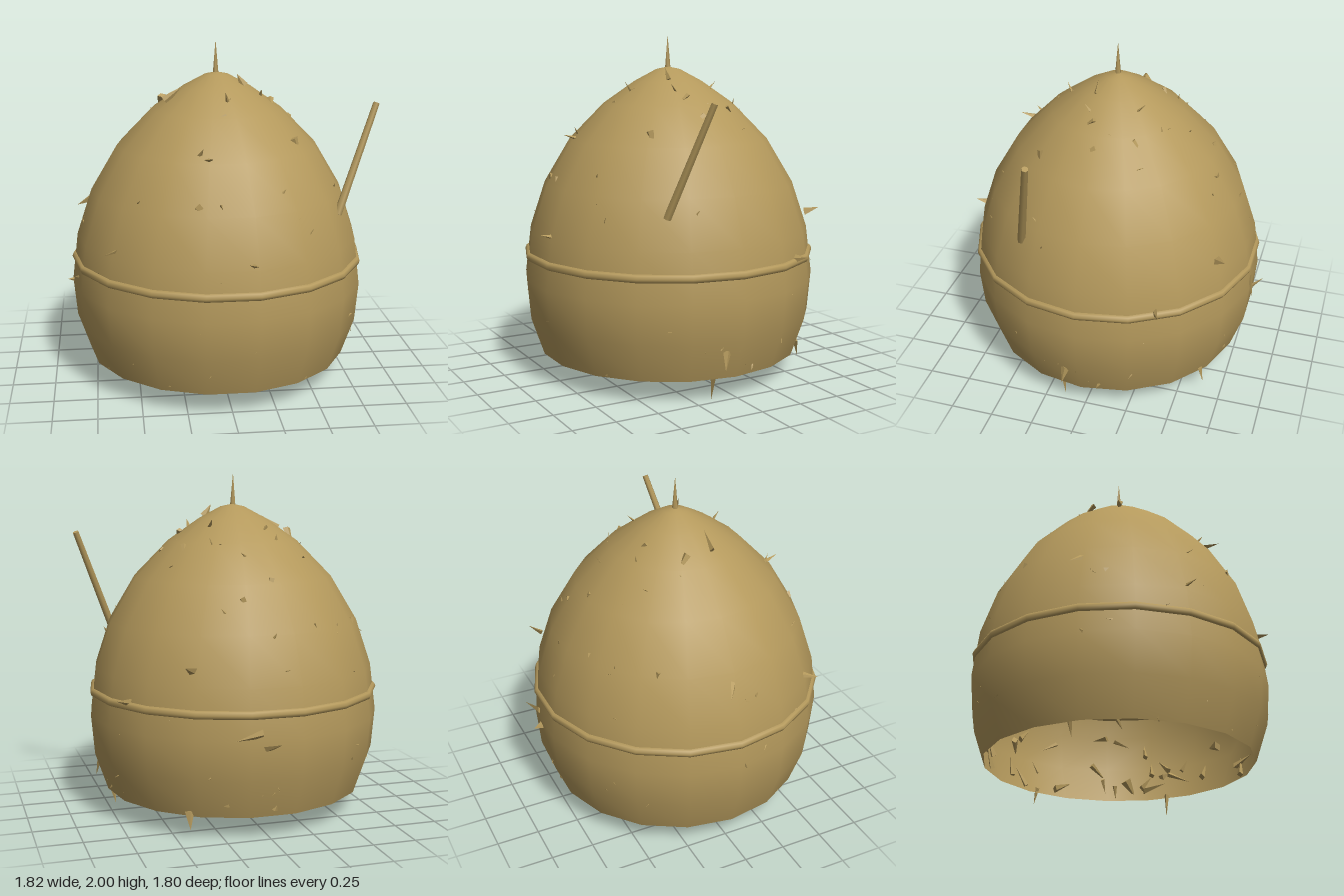
import * as THREE from 'three';
import { mergeGeometries } from 'three/addons/utils/BufferGeometryUtils.js';

const CX = -0.01, CZ = 0.02, SIDES = 18;
// radius and height of the stack, from the open foot to the peak
const PROFILE = [[0.775, 0.13], [0.85, 0.35], [0.87, 0.58], [0.835, 0.86], [0.745, 1.13],
  [0.59, 1.39], [0.385, 1.6], [0.2, 1.73], [0.07, 1.8], [0, 1.815]];

function radiusAt(y) {
  for (let i = 1; i < PROFILE.length; i++) {
    const [r0, y0] = PROFILE[i - 1], [r1, y1] = PROFILE[i];
    if (y <= y1) return r0 + (r1 - r0) * (y - y0) / (y1 - y0);
  }
  return 0;
}

function seeded(seed) {
  return () => (seed = (seed * 16807) % 2147483647) / 2147483647;
}

// cone or rod running from one point to another
function rod(from, to, r0, r1, sides, flat = 1) {
  const a = new THREE.Vector3(...from), b = new THREE.Vector3(...to);
  const dir = b.clone().sub(a);
  const g = new THREE.CylinderGeometry(r1, r0, dir.length(), sides);
  g.scale(1, 1, flat);
  g.applyQuaternion(new THREE.Quaternion().setFromUnitVectors(new THREE.Vector3(0, 1, 0), dir.normalize()));
  const mid = a.add(b).multiplyScalar(0.5);
  return g.translate(mid.x, mid.y, mid.z);
}

export function createModel() {
  const group = new THREE.Group();
  const straw = new THREE.MeshStandardMaterial({ color: 0xb4995c, side: THREE.DoubleSide });
  straw.name = 'straw';
  const add = (name, geometry) => {
    const mesh = new THREE.Mesh(geometry, straw);
    mesh.name = name;
    group.add(mesh);
    return mesh;
  };

  // hollow stack, open below
  const points = PROFILE.map(([r, y]) => new THREE.Vector2(r, y));
  add('stack', new THREE.LatheGeometry(points, SIDES, Math.PI / 2)).position.set(CX, 0, CZ);

  // rope tied around the stack
  const rope = new THREE.TorusGeometry(0.845, 0.026, 8, SIDES).rotateX(Math.PI / 2);
  add('rope', rope).position.set(CX, 0.72, CZ);

  // peak spike and the handle stuck in the side
  add('peakSpike', rod([-0.015, 1.8, CZ], [-0.015, 2, CZ], 0.018, 0, 5));
  add('handle', rod([0.65, 1.03, 0.39], [0.892, 1.65, 0.245], 0.024, 0.019, 6));

  // larger stalks that stick out, each from base to tip
  const stalks = [
    [[0.72, 0.14, 0.14], [0.7, 0, 0.14]], [[0.43, 0.16, -0.62], [0.43, 0.06, -0.64]],
    [[-0.72, 0.16, -0.06], [-0.68, 0.08, -0.06]], [[0.5, 0.16, -0.14], [0.52, 0.08, -0.14]],
    [[-0.83, 0.58, 0.05], [-0.91, 0.58, 0.04]], [[-0.75, 1.08, 0.02], [-0.84, 1.02, -0.04]],
    [[0.06, 0.53, -0.82], [-0.01, 0.57, -0.9]], [[0.08, 0.62, -0.83], [0.24, 0.6, -0.87]],
    [[0.1, 0.88, 0.82], [0.12, 0.9, 0.9]], [[0.8, 0.3, 0.1], [0.82, 0.19, 0.12]],
    [[0.7, 0.74, -0.4], [0.79, 0.76, -0.44]], [[0.42, 0.95, -0.68], [0.48, 0.98, -0.74]],
    [[-0.32, 1.66, 0.1], [-0.22, 1.74, 0.1]], [[0.14, 1.74, 0.1], [0.1, 1.81, 0.1]],
    [[-0.6, 0.9, 0.52], [-0.69, 0.9, 0.62]], [[-0.12, 1.4, 0.55], [-0.1, 1.43, 0.66]],
  ];
  const pieces = stalks.map(([a, b]) => rod(a, b, 0.028, 0, 4, 0.5));

  // small loose stalks lying almost flush, half buried in the surface
  const rnd = seeded(4177);
  for (let i = 0; i < 150; i++) {
    const y = 0.18 + 1.5 * Math.pow(rnd(), 1.15);
    const t = rnd() * Math.PI * 2, r = radiusAt(y) * 0.985 - 0.02;
    const out = new THREE.Vector3(Math.sin(t), 0.25, Math.cos(t));
    const side = new THREE.Vector3(Math.cos(t), 0, -Math.sin(t));
    const spin = rnd() * Math.PI * 2, half = 0.04 + 0.035 * rnd();
    const dir = side.multiplyScalar(Math.cos(spin));
    dir.y += Math.sin(spin);
    dir.addScaledVector(out, 0.1 + 0.5 * rnd()).normalize().multiplyScalar(half);
    const c = new THREE.Vector3(CX + r * Math.sin(t), y, CZ + r * Math.cos(t));
    pieces.push(rod(c.clone().sub(dir).toArray(), c.add(dir).toArray(), 0.016 + 0.018 * rnd(), 0, 4, 0.6));
  }
  const loose = mergeGeometries(pieces.map((g) => g.toNonIndexed()));
  loose.computeVertexNormals();
  add('looseStraw', loose);

  return group;
}
